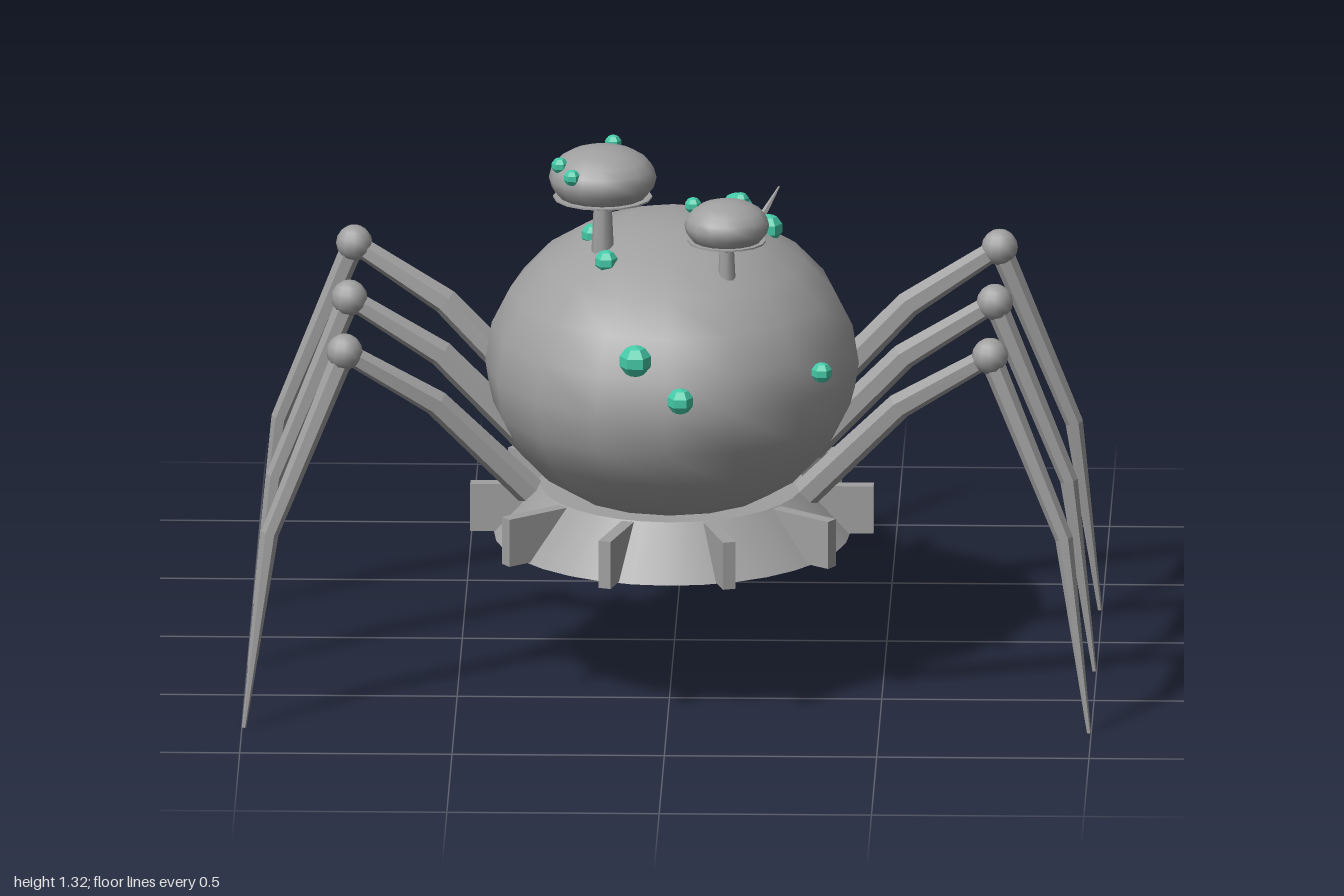
import * as THREE from 'three';

const grey = new THREE.MeshStandardMaterial({ color: 0xa0a0a0 });
grey.name = 'shell grey';
const teal = new THREE.MeshStandardMaterial({ color: 0x45cba8 });
teal.name = 'glow teal';

function add(parent, name, geometry, material, x = 0, y = 0, z = 0) {
  const mesh = new THREE.Mesh(geometry, material);
  mesh.name = name;
  mesh.position.set(x, y, z);
  parent.add(mesh);
  return mesh;
}

function ellipsoid(rx, ry, rz, w = 16, h = 12) {
  return new THREE.SphereGeometry(1, w, h).scale(rx, ry, rz);
}

// Faceted tapering limb through a few points, closed at both ends
function limb(points, radii, sides = 6) {
  const p = points.map((a) => new THREE.Vector3(...a));
  const rings = p.map((c, i) => {
    const t = p[Math.min(i + 1, p.length - 1)].clone().sub(p[Math.max(i - 1, 0)]).normalize();
    const n = new THREE.Vector3(0, 0, 1).cross(t);
    if (n.length() < 0.1) n.set(1, 0, 0);
    n.normalize();
    const b = t.clone().cross(n);
    return Array.from({ length: sides }, (_, j) => {
      const a = (j / sides) * Math.PI * 2;
      return c.clone().addScaledVector(n, Math.cos(a) * radii[i]).addScaledVector(b, Math.sin(a) * radii[i]);
    });
  });
  const out = [];
  const tri = (...v) => v.forEach((q) => out.push(q.x, q.y, q.z));
  const last = p.length - 1;
  for (let j = 0; j < sides; j++) {
    const k = (j + 1) % sides;
    for (let i = 0; i < last; i++) {
      tri(rings[i][j], rings[i][k], rings[i + 1][k]);
      tri(rings[i][j], rings[i + 1][k], rings[i + 1][j]);
    }
    tri(p[0], rings[0][k], rings[0][j]);
    tri(p[last], rings[last][j], rings[last][k]);
  }
  const g = new THREE.BufferGeometry();
  g.setAttribute('position', new THREE.Float32BufferAttribute(out, 3));
  g.computeVertexNormals();
  return g;
}

// Small faceted bead
function bead(parent, name, x, y, z, r) {
  const g = new THREE.SphereGeometry(r, 6, 5).toNonIndexed();
  g.computeVertexNormals();
  add(parent, name, g, teal, x, y, z);
}

export function createModel() {
  const model = new THREE.Group();
  model.name = 'mushroomBeetle';

  // Body
  add(model, 'body', ellipsoid(0.44, 0.36, 0.515), grey, 0, 0.75, 0.247);

  // Flared base with ten radial fins
  const base = new THREE.Group();
  base.name = 'base';
  base.position.set(0, 0.395, 0.247);
  base.scale.z = 1.12;
  model.add(base);
  add(base, 'baseDisc', new THREE.CylinderGeometry(0.31, 0.42, 0.12, 32), grey);
  for (let i = 0; i < 10; i++) {
    const a = (i / 10) * Math.PI * 2;
    const fin = add(base, 'baseFin', new THREE.BoxGeometry(0.17, 0.115, 0.03), grey,
      Math.cos(a) * 0.39, 0, -Math.sin(a) * 0.39);
    fin.rotation.y = a;
  }

  // Head
  add(model, 'head', ellipsoid(0.2, 0.157, 0.185), grey, 0, 0.568, -0.457);

  for (const s of [1, -1]) {
    // Eyes, antennae and mandibles
    add(model, 'eye', new THREE.SphereGeometry(0.042, 12, 8), teal, s * 0.1, 0.62, -0.61);
    add(model, 'antenna', limb([[s * 0.07, 0.65, -0.53], [s * 0.165, 0.8, -0.675], [s * 0.228, 0.895, -0.758]],
      [0.018, 0.013, 0.002], 5), grey);
    add(model, 'mandible', limb([[s * 0.085, 0.52, -0.56], [s * 0.12, 0.5, -0.69], [s * 0.055, 0.473, -0.8]],
      [0.032, 0.024, 0.002], 5), grey);

    // Legs: hip z, knee z, foot z
    for (const [hz, kz, fz] of [[-0.18, -0.232, -0.28], [0.24, 0.243, 0.25], [0.63, 0.708, 0.783]]) {
      const leg = new THREE.Group();
      leg.name = 'leg';
      model.add(leg);
      add(leg, 'upperLeg', limb([[s * 0.325, 0.54, hz], [s * 0.545, 0.765, (hz + kz) / 2], [s * 0.76, 0.9, kz]],
        [0.036, 0.032, 0.024]), grey);
      add(leg, 'knee', new THREE.SphereGeometry(0.043, 12, 8), grey, s * 0.76, 0.9, kz);
      add(leg, 'lowerLeg', limb([[s * 0.76, 0.9, kz], [s * 0.935, 0.465, kz * 0.5 + fz * 0.5], [s * 0.995, 0, fz]],
        [0.027, 0.021, 0.005]), grey);
    }
  }

  // Mushrooms: x, cap y, z, cap radius, cap half height, stem foot y
  for (const [x, y, z, r, h, foot] of [[-0.16, 1.24, 0.385, 0.127, 0.076, 1.03], [0.135, 1.157, 0.5, 0.1, 0.061, 1.0]]) {
    const mushroom = new THREE.Group();
    mushroom.name = 'mushroom';
    model.add(mushroom);
    const gillY = y - h * 0.63;
    add(mushroom, 'cap', ellipsoid(r, h, r, 16, 10), grey, x, y, z);
    add(mushroom, 'gills', new THREE.CylinderGeometry(r * 0.92, r * 0.92, 0.004, 16), grey, x, gillY, z);
    add(mushroom, 'stem', new THREE.CylinderGeometry(r * 0.16, r * 0.22, gillY - foot, 8), grey, x, (gillY + foot) / 2, z);
  }

  // Beads on the body
  for (const [x, y, z, r] of [
    [-0.015, 0.97, -0.17, 0.033], [0.063, 0.975, -0.18, 0.033],
    [0.148, 1.07, 0.045, 0.038], [0.226, 1.065, 0.197, 0.034],
    [0.36, 0.812, 0.55, 0.025], [-0.075, 0.885, 0.72, 0.039], [0.032, 0.8, 0.765, 0.032],
    [-0.185, 1.075, 0.3, 0.028], [-0.15, 1.055, 0.46, 0.028],
  ]) bead(model, 'bodyBead', x, y, z, r);

  // Beads on the mushroom caps
  for (const [x, y, z] of [
    [-0.137, 1.3, 0.3], [-0.26, 1.28, 0.43], [-0.23, 1.265, 0.482],
    [0.055, 1.197, 0.472], [0.166, 1.195, 0.42],
  ]) bead(model, 'capBead', x, y, z, 0.02);

  return model;
}
